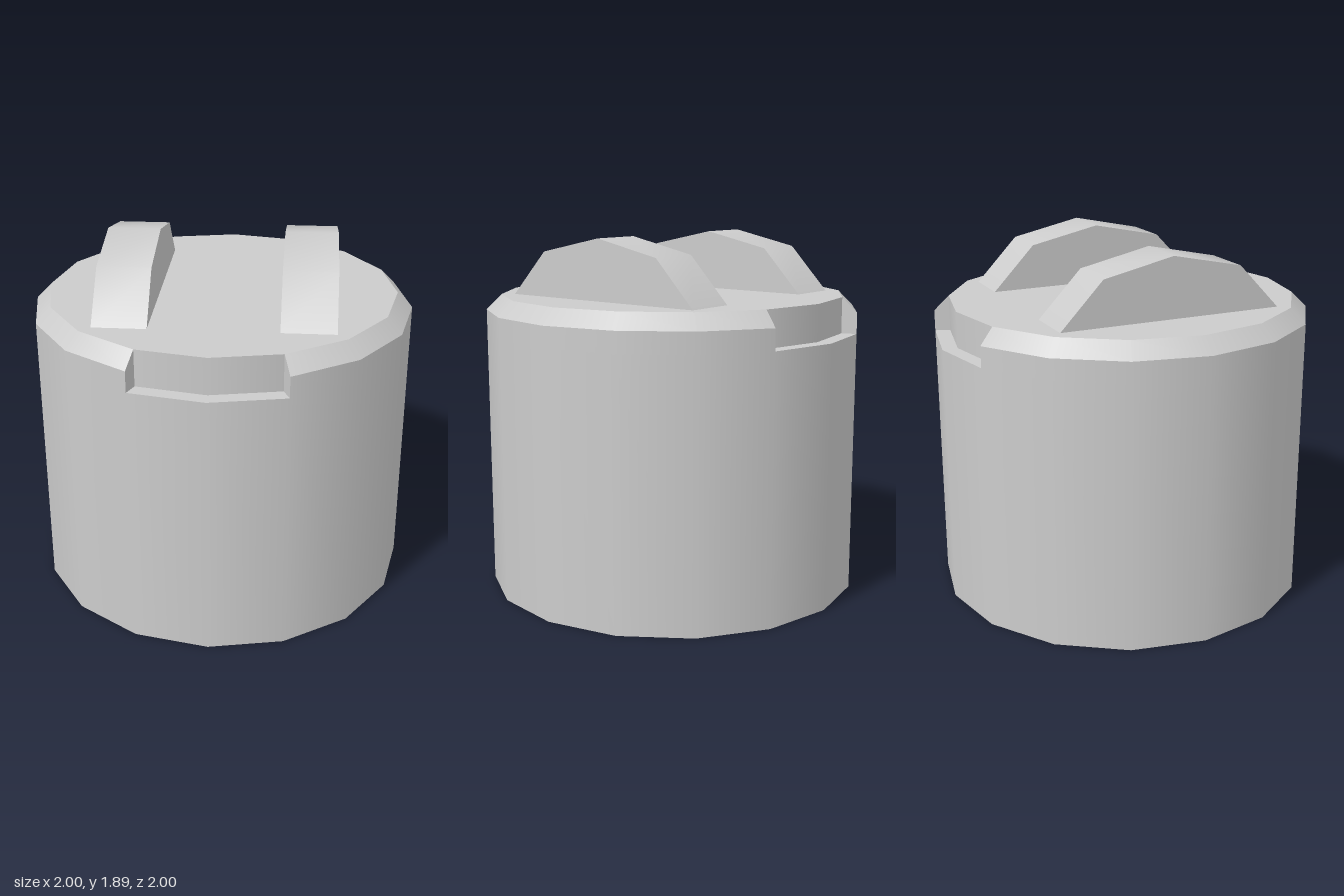
import * as THREE from 'three';
import { toCreasedNormals } from 'three/addons/utils/BufferGeometryUtils.js';

const STEP = Math.PI / 8; // the drum has 16 sides
const R = 1, RIM = 0.92, NOTCH_Y = 1.39, BEVEL_Y = 1.5, TOP = 1.58;

export function createModel() {
  const group = new THREE.Group();
  const material = new THREE.MeshStandardMaterial({ color: 0xcccccc, side: THREE.DoubleSide });

  const add = (name, geometry) => {
    const mesh = new THREE.Mesh(geometry, material);
    mesh.name = name;
    group.add(mesh);
    return mesh;
  };

  // One band of the drum, swept over a number of sides from a start angle (0 = +z)
  const band = (name, r0, y0, r1, y1, start = 0, sides = 16) =>
    add(name, new THREE.LatheGeometry(
      [new THREE.Vector2(r0, y0), new THREE.Vector2(r1, y1)], sides, start, sides * STEP));

  // Drum wall, open at the bottom, and flat lid
  band('drumWall', R, 0, R, NOTCH_Y);
  add('lid', new THREE.CircleGeometry(RIM, 16).rotateX(-Math.PI / 2)).position.y = TOP;

  // Radial cheek that closes a notch end
  const cheek = new THREE.Shape([
    new THREE.Vector2(RIM, NOTCH_Y), new THREE.Vector2(R, NOTCH_Y),
    new THREE.Vector2(R, BEVEL_Y), new THREE.Vector2(RIM, TOP),
  ]);

  for (const turn of [0, Math.PI]) {
    // Bevelled rim along each side
    band('rimWall', R, NOTCH_Y, R, BEVEL_Y, turn + STEP, 6);
    band('rimBevel', R, BEVEL_Y, RIM, TOP, turn + STEP, 6);
    // Notches at front and back
    band('notchFloor', R, NOTCH_Y, RIM, NOTCH_Y, turn - STEP, 2);
    band('notchWall', RIM, NOTCH_Y, RIM, TOP, turn - STEP, 2);
    for (const s of [-1, 1]) {
      add('notchCheek', new THREE.ShapeGeometry(cheek)).rotation.y = turn + s * STEP - Math.PI / 2;
    }
  }

  // Two arched ridges on the lid, running front to back
  const arch = new THREE.Shape([
    [-0.6, TOP], [0.6, TOP], [0.375, 1.815], [0, 1.895], [-0.375, 1.815],
  ].map(([z, y]) => new THREE.Vector2(z, y)));
  const width = 0.275;
  const ridge = toCreasedNormals(
    new THREE.ExtrudeGeometry(arch, { depth: width, bevelEnabled: false })
      .translate(0, 0, -width / 2).rotateY(Math.PI / 2), 0.8);
  for (const s of [-1, 1]) {
    add(s > 0 ? 'leftRidge' : 'rightRidge', ridge).position.x = s * 0.4615;
  }

  return group;
}
